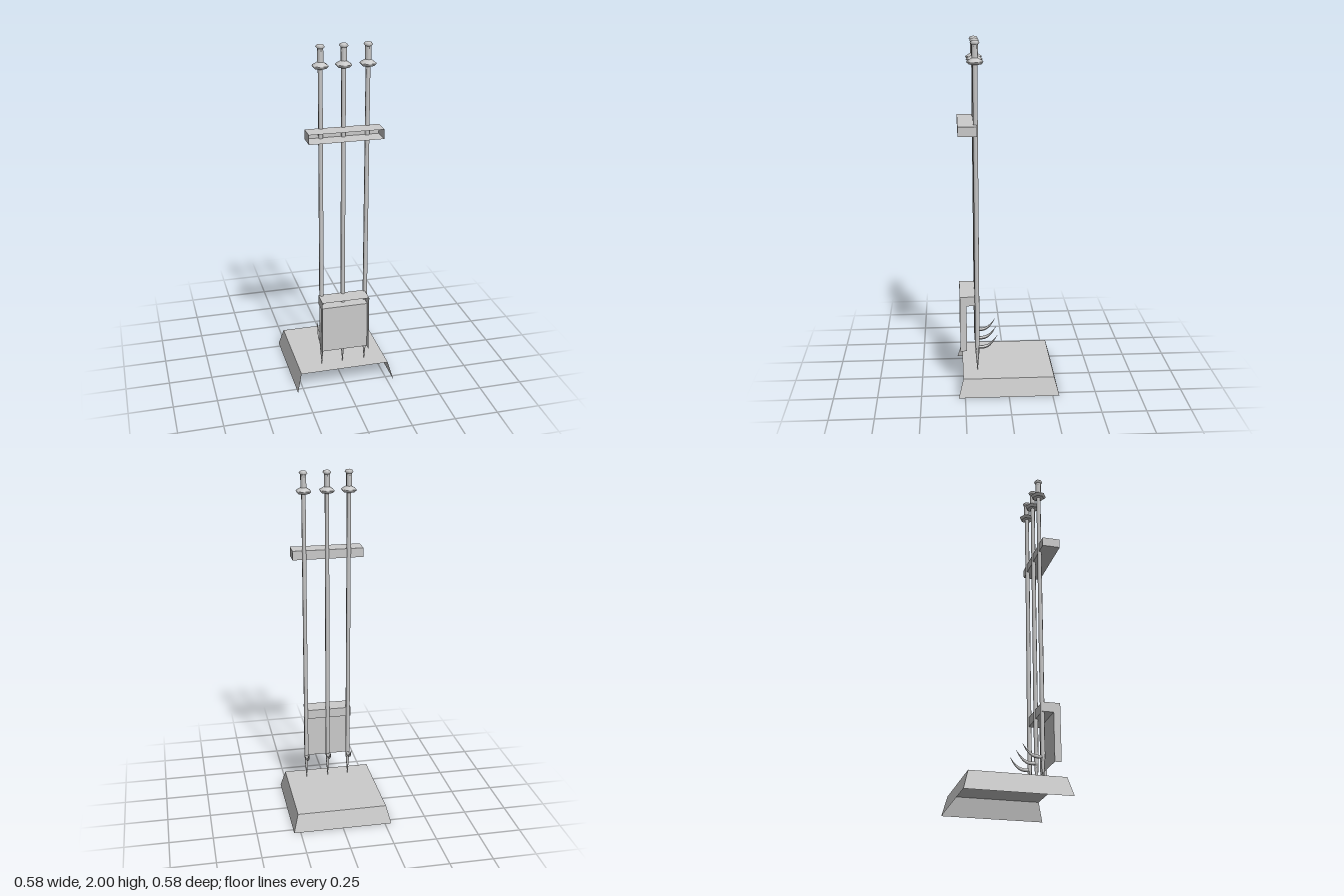
import * as THREE from 'three';

const sheet = new THREE.MeshStandardMaterial({ color: 0xcccccc, flatShading: true, side: THREE.DoubleSide });
const metal = new THREE.MeshStandardMaterial({ color: 0xcccccc, side: THREE.DoubleSide });

// Folded sheet metal: each face is four corners in counter-clockwise order seen from outside
function folded(name, faces) {
  const pos = [];
  for (const [a, b, c, d] of faces) pos.push(...a, ...b, ...c, ...a, ...c, ...d);
  const geo = new THREE.BufferGeometry();
  geo.setAttribute('position', new THREE.Float32BufferAttribute(pos, 3));
  geo.computeVertexNormals();
  const mesh = new THREE.Mesh(geo, sheet);
  mesh.name = name;
  return mesh;
}

// Tray open to the front: top, back, two ends and a floor reaching floorZ
function openTray(name, w, y0, y1, z0, z1, floorZ) {
  const faces = [
    [[-w, y1, z1], [w, y1, z1], [w, y1, z0], [-w, y1, z0]],
    [[w, y0, z0], [-w, y0, z0], [-w, y1, z0], [w, y1, z0]],
    [[-w, y0, z0], [w, y0, z0], [w, y0, floorZ], [-w, y0, floorZ]],
    [[w, y0, z1], [w, y0, z0], [w, y1, z0], [w, y1, z1]],
    [[-w, y0, z0], [-w, y0, z1], [-w, y1, z1], [-w, y1, z0]],
  ];
  return folded(name, faces);
}

// Six-sided turned part from [radius, height] points
function turned(name, profile) {
  const geo = new THREE.LatheGeometry(profile.map(([r, y]) => new THREE.Vector2(r, y)), 6);
  const mesh = new THREE.Mesh(geo, metal);
  mesh.name = name;
  return mesh;
}

// Curved hook that tapers to a point
function hook() {
  const curve = new THREE.CatmullRomCurve3([
    [0, 0.25, 0], [0, 0.248, -0.03], [0, 0.256, -0.06], [0, 0.28, -0.088], [0, 0.32, -0.116],
  ].map(p => new THREE.Vector3(...p)));
  const steps = 10, sides = 6;
  const geo = new THREE.TubeGeometry(curve, steps, 0.01, sides);
  const pos = geo.attributes.position, v = new THREE.Vector3();
  for (let i = 0; i < pos.count; i++) {
    const t = Math.floor(i / (sides + 1)) / steps;
    const centre = curve.getPointAt(t);
    v.fromBufferAttribute(pos, i).sub(centre).multiplyScalar(1 - Math.max(0, (t - 0.3) / 0.7) * 0.98).add(centre);
    pos.setXYZ(i, v.x, v.y, v.z);
  }
  geo.computeVertexNormals();
  const mesh = new THREE.Mesh(geo, metal);
  mesh.name = 'hook';
  return mesh;
}

// One fire iron: pointed rod, hook, collar, grip and cap
function fireIron(x) {
  const iron = new THREE.Group();
  iron.name = 'fireIron';
  iron.add(
    turned('rod', [[0.013, 0.25], [0.013, 1.88]]),
    turned('point', [[0.001, 0.105], [0.009, 0.19], [0.013, 0.25]]),
    hook(),
    turned('collarUnderside', [[0, 1.872], [0.034, 1.872]]),
    turned('collar', [[0.034, 1.872], [0.046, 1.884], [0.044, 1.89], [0.018, 1.906]]),
    turned('grip', [[0.018, 1.9], [0.017, 1.98]]),
    turned('cap', [[0.017, 1.976], [0.026, 1.985], [0.018, 1.996], [0, 2]])
  );
  iron.position.set(x, 0, 0.175);
  return iron;
}

export function createModel() {
  const model = new THREE.Group();
  model.name = 'fireplaceToolSet';

  // Base: flat top with flared back and sides, open in front and below
  const t = 0.26, b = 0.288, h = 0.105;
  model.add(folded('base', [
    [[-t, h, t], [t, h, t], [t, h, -t], [-t, h, -t]],
    [[b, 0, -b], [-b, 0, -b], [-t, h, -t], [t, h, -t]],
    [[b, 0, b], [b, 0, -b], [t, h, -t], [t, h, t]],
    [[-b, 0, -b], [-b, 0, b], [-t, h, t], [-t, h, -t]],
  ]));

  // Rail holding the irons
  model.add(openTray('rail', 0.205, 1.495, 1.548, 0.17, 0.273, 0.273));

  // Shovel: head tray, recessed blade and two side flanges
  const w = 0.136, y0 = 0.222, y1 = 0.5, back = 0.235, front = 0.273;
  const shovel = new THREE.Group();
  shovel.name = 'shovel';
  shovel.add(
    openTray('shovelHead', w, y1, 0.555, 0.17, front, back),
    folded('shovelBlade', [
      [[-w, y0, back], [w, y0, back], [w, y1, back], [-w, y1, back]],
      [[w, y0, front], [w, y0, back], [w, y1, back], [w, y1, front]],
      [[-w, y0, back], [-w, y0, front], [-w, y1, front], [-w, y1, back]],
    ])
  );
  model.add(shovel);

  for (const x of [-0.119, 0.006, 0.138]) model.add(fireIron(x));
  return model;
}
